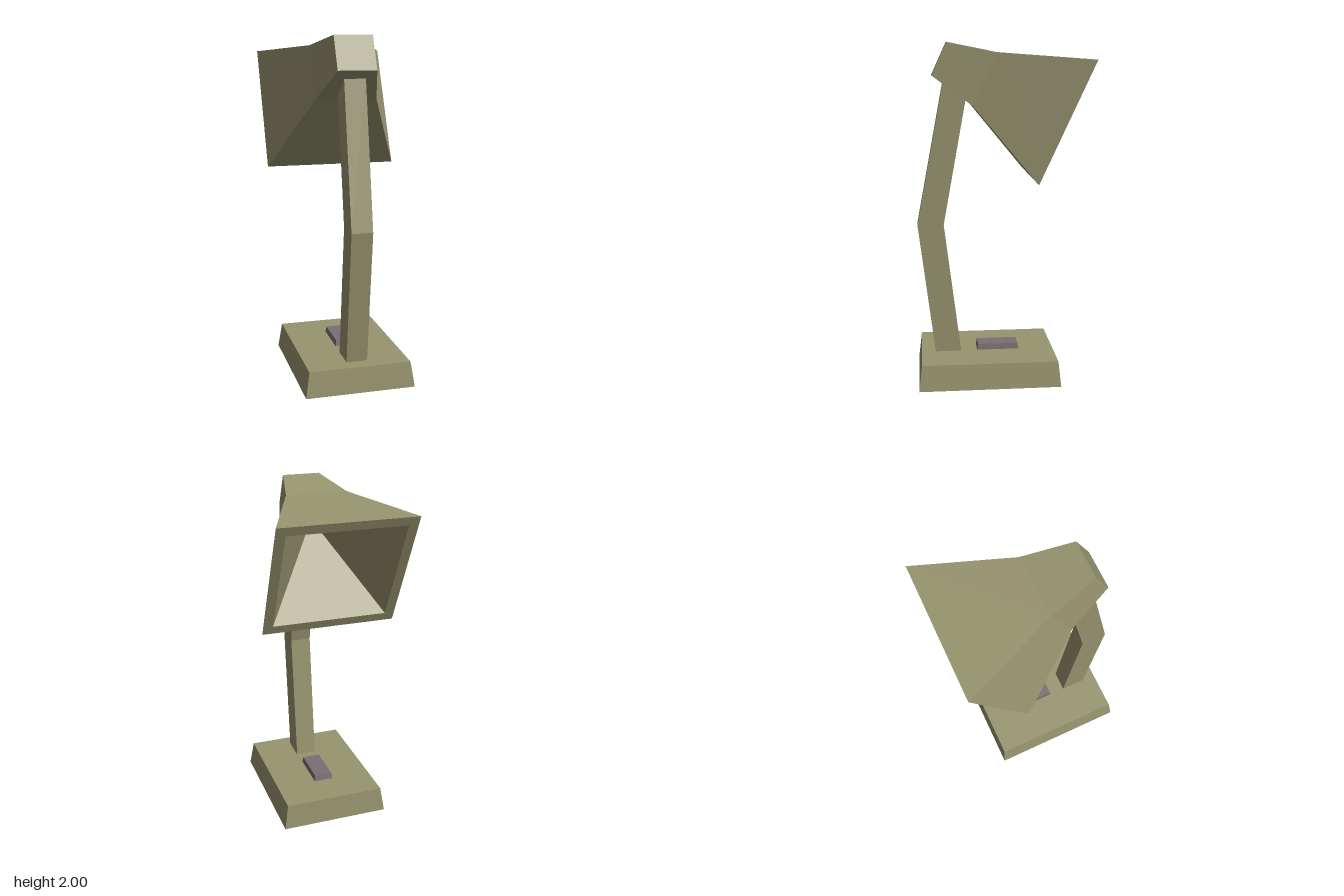
import * as THREE from 'three';

const olive = new THREE.MeshStandardMaterial({ color: 0x98946f, side: THREE.DoubleSide, flatShading: true });
olive.name = 'olive paint';
const grey = new THREE.MeshStandardMaterial({ color: 0x777173, side: THREE.DoubleSide, flatShading: true });
grey.name = 'grey plastic';

// Joins four-cornered rings with flat faces; the ends may be closed.
function loft(name, rings, material, { capStart = false, capEnd = false } = {}) {
  const points = [];
  const quad = (a, b, c, d) => points.push(...a, ...b, ...c, ...a, ...c, ...d);
  for (let r = 0; r < rings.length - 1; r++) {
    const A = rings[r], B = rings[r + 1];
    for (let i = 0; i < 4; i++) {
      const j = (i + 1) % 4;
      quad(A[i], A[j], B[j], B[i]);
    }
  }
  if (capStart) quad(...[...rings[0]].reverse());
  if (capEnd) quad(...rings[rings.length - 1]);
  const geometry = new THREE.BufferGeometry();
  geometry.setAttribute('position', new THREE.Float32BufferAttribute(points, 3));
  geometry.computeVertexNormals();
  const mesh = new THREE.Mesh(geometry, material);
  mesh.name = name;
  return mesh;
}

// Ring for upright parts: a near edge and a far edge, each given as [y, z].
const uprightRing = (cx, hw, [yn, zn], [yf, zf]) => [
  [cx + hw, yn, zn], [cx + hw, yf, zf], [cx - hw, yf, zf], [cx - hw, yn, zn],
];

// Ring for the shade: a top edge and a bottom edge, each given as [y, z].
const shadeRing = (hw, [yt, zt], [yb, zb]) => [
  [-hw, yb, zb], [-hw, yt, zt], [hw, yt, zt], [hw, yb, zb],
];

export function createModel() {
  const lamp = new THREE.Group();
  lamp.name = 'deskLamp';

  // Tapered base, hollow underneath
  lamp.add(loft('base', [
    uprightRing(0.003, 0.323, [0, 0.5], [0, -0.335]),
    uprightRing(0.003, 0.3, [0.15, 0.482], [0.15, -0.32]),
  ], olive, { capEnd: true }));

  // Bent square post, its open foot passing through the base plate
  lamp.add(loft('post', [
    uprightRing(0.004, 0.062, [0.12, 0.394], [0.12, 0.239]),
    uprightRing(0.004, 0.062, [0.935, 0.495], [0.935, 0.34]),
    uprightRing(0.004, 0.062, [1.79, 0.332], [1.67, 0.205]),
  ], olive, { capEnd: true }));

  // Switch on the base
  lamp.add(loft('switch', [
    uprightRing(0.003, 0.06, [0.14, 0.147], [0.14, -0.113]),
    uprightRing(0.003, 0.054, [0.185, 0.138], [0.185, -0.104]),
  ], grey, { capEnd: true }));

  // Flared shade: closed socket end, waist, mouth, rim and inner cavity
  lamp.add(loft('shade', [
    shadeRing(0.111, [2.0, 0.313], [1.812, 0.4]),
    shadeRing(0.18, [1.942, 0.03], [1.642, 0.17]),
    shadeRing(0.395, [1.9, -0.5], [1.217, -0.182]),
    shadeRing(0.338, [1.85, -0.477], [1.267, -0.205]),
    shadeRing(0, [1.77, 0.13], [1.77, 0.13]),
  ], olive, { capStart: true }));

  return lamp;
}
